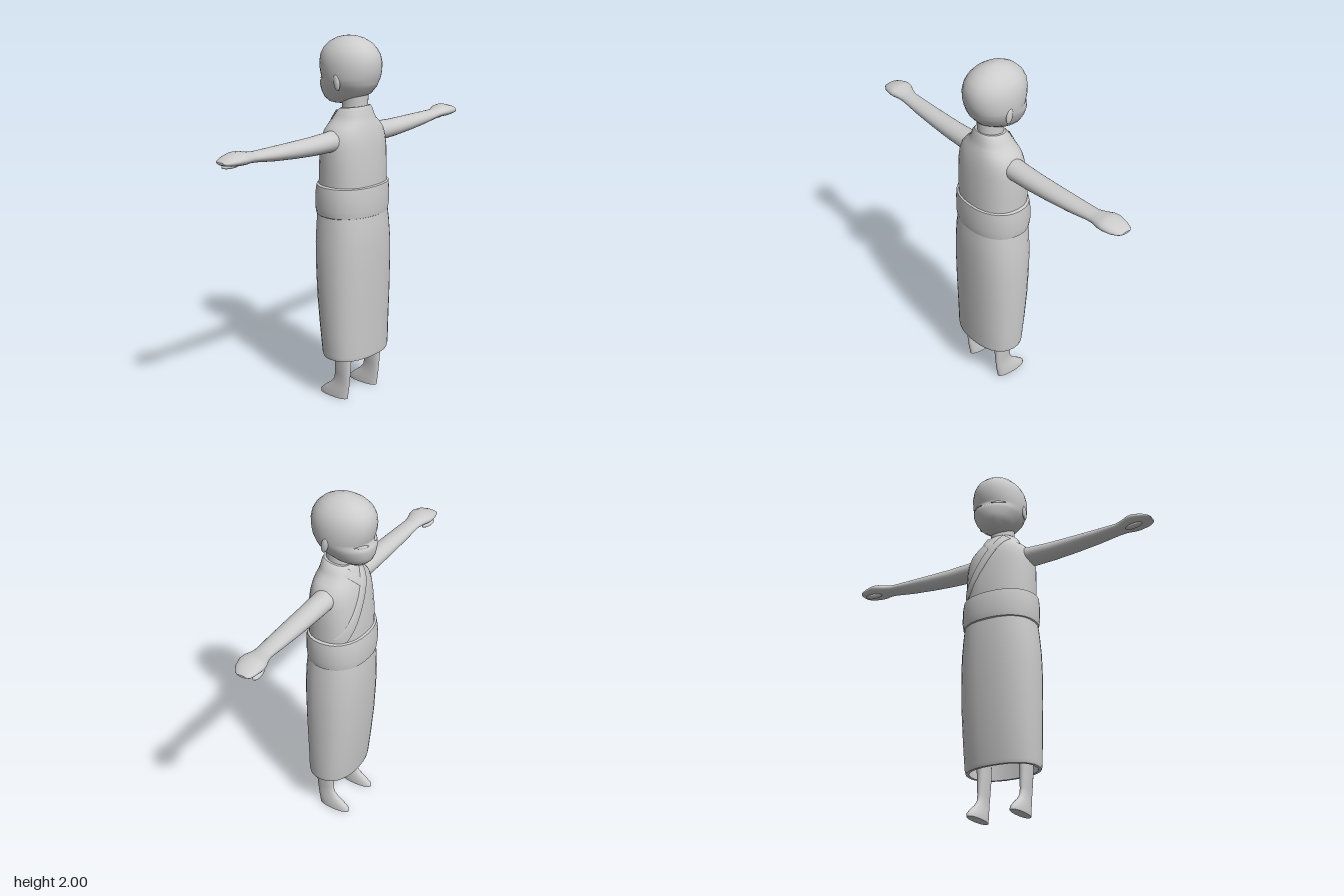
import * as THREE from 'three';

const SEG = 28;
const cloth = new THREE.MeshStandardMaterial({ color: 0xcccccc, side: THREE.DoubleSide });
cloth.name = 'plain grey';

const power = (v, e) => Math.sign(v) * Math.pow(Math.abs(v), 2 / e);

// Skin closed rings of points, optionally closing either end
function skin(rings, capStart, capEnd) {
  const pos = [], idx = [], n = rings[0].length;
  rings.forEach(r => r.forEach(p => pos.push(...p)));
  for (let i = 0; i < rings.length - 1; i++) {
    for (let j = 0; j < n; j++) {
      const a = i * n + j, b = i * n + (j + 1) % n;
      idx.push(a, b, a + n, b, b + n, a + n);
    }
  }
  const cap = (ring, flip) => {
    const base = pos.length / 3;
    ring.forEach(p => pos.push(...p));
    pos.push(...[0, 1, 2].map(k => ring.reduce((s, p) => s + p[k], 0) / n));
    for (let j = 0; j < n; j++) {
      const a = base + j, b = base + (j + 1) % n;
      idx.push(...(flip ? [b, a, base + n] : [a, b, base + n]));
    }
  };
  if (capStart) cap(rings[0], true);
  if (capEnd) cap(rings[rings.length - 1], false);
  const g = new THREE.BufferGeometry();
  g.setAttribute('position', new THREE.Float32BufferAttribute(pos, 3));
  g.setIndex(idx);
  g.computeVertexNormals();
  return g;
}

// Upright ring: [height, half width, back z, face-side z, tilt]
function uprightRing([y, w, zb, zf, tilt = 0], e, cx = 0) {
  return Array.from({ length: SEG }, (_, j) => {
    const t = j / SEG * Math.PI * 2, c = power(Math.cos(t), e), s = power(Math.sin(t), e);
    return [cx + w * s, y + tilt * c, (zb + zf) / 2 + c * (zb - zf) / 2];
  });
}
const upright = (rows, e = 2, cx = 0, a = true, b = true) =>
  skin(rows.map(r => uprightRing(r, e, cx)), a, b);

// Sideways ring: [x, low y, high y, min z, max z]
function sideways(rows) {
  return skin(rows.map(([x, y0, y1, z0, z1]) => Array.from({ length: SEG }, (_, j) => {
    const t = j / SEG * Math.PI * 2;
    return [x, (y0 + y1) / 2 + Math.cos(t) * (y1 - y0) / 2, (z0 + z1) / 2 + Math.sin(t) * (z1 - z0) / 2];
  })), true, true);
}

function mirrored(geometry) {
  const g = geometry.clone().scale(-1, 1, 1);
  const ix = g.index.array;
  for (let i = 0; i < ix.length; i += 3) [ix[i], ix[i + 1]] = [ix[i + 1], ix[i]];
  g.computeVertexNormals();
  return g;
}

// Face-side surface depth of a set of upright rows
function surfaceZ(rows, e, x, y) {
  let i = 0;
  while (i < rows.length - 2 && rows[i + 1][0] < y) i++;
  const t = (y - rows[i][0]) / (rows[i + 1][0] - rows[i][0]);
  const [w, zb, zf] = [1, 2, 3].map(k => THREE.MathUtils.lerp(rows[i][k], rows[i + 1][k], t));
  const f = Math.pow(Math.max(0, 1 - Math.pow(Math.abs(x) / w, e)), 1 / e);
  return (zb + zf) / 2 - f * (zb - zf) / 2;
}

// Thin raised band lying on a surface between two points
function band(rows, e, from, to, width, lift, taper) {
  const pos = [], idx = [], N = 16;
  const dx = to[0] - from[0], dy = to[1] - from[1], l = Math.hypot(dx, dy);
  for (let i = 0; i <= N; i++) {
    const t = i / N, w = width * (taper ? Math.sin(Math.PI * t) : 1);
    [-0.5, -0.42, 0.42, 0.5].forEach((s, k) => {
      const x = from[0] + dx * t - dy / l * s * w, y = from[1] + dy * t + dx / l * s * w;
      pos.push(x, y, surfaceZ(rows, e, x, y) - (k % 3 ? lift : -0.002));
    });
  }
  const flip = dx > 0;
  for (let i = 0; i < N; i++) for (let k = 0; k < 3; k++) {
    const a = i * 4 + k, b = a + 1, c = a + 4, d = a + 5;
    idx.push(...(flip ? [a, b, c, b, d, c] : [a, c, b, b, c, d]));
  }
  const g = new THREE.BufferGeometry();
  g.setAttribute('position', new THREE.Float32BufferAttribute(pos, 3));
  g.setIndex(idx);
  g.computeVertexNormals();
  return g;
}

export function createModel() {
  const model = new THREE.Group();
  const add = (name, g) => {
    const m = new THREE.Mesh(g, cloth);
    m.name = name;
    model.add(m);
    return m;
  };
  const pair = (name, g) => {
    add(name + 'Left', g);
    add(name + 'Right', mirrored(g));
  };

  // Head with brow hollow, cheeks and small chin
  const head = [
    [1.64, 0.03, -0.05, -0.12], [1.648, 0.058, -0.01, -0.142], [1.67, 0.088, 0.05, -0.165],
    [1.70, 0.112, 0.105, -0.178], [1.74, 0.132, 0.138, -0.184], [1.76, 0.139, 0.146, -0.178],
    [1.775, 0.142, 0.151, -0.163], [1.79, 0.145, 0.157, -0.168], [1.82, 0.147, 0.164, -0.177],
    [1.86, 0.146, 0.167, -0.181], [1.90, 0.138, 0.16, -0.177], [1.935, 0.121, 0.14, -0.16],
    [1.965, 0.094, 0.108, -0.128], [1.985, 0.063, 0.07, -0.09], [1.996, 0.032, 0.032, -0.05],
    [2.0, 0.004, 0.0, -0.012],
  ];
  add('head', upright(head, 2.1));
  add('neck', upright([[1.54, 0.075, 0.1, -0.055], [1.62, 0.064, 0.092, -0.05], [1.74, 0.066, 0.1, -0.045]]));
  pair('ear', new THREE.SphereGeometry(1, 14, 10).scale(0.011, 0.042, 0.02)
    .rotateX(-0.2).translate(0.142, 1.77, 0.02));
  pair('closedEye', band(head, 2.1, [0.03, 1.77], [0.1, 1.776], 0.014, 0.006, true));

  // Wrapped upper garment
  const torso = [
    [1.1, 0.195, 0.16, -0.145], [1.22, 0.198, 0.162, -0.147], [1.32, 0.2, 0.16, -0.142],
    [1.42, 0.199, 0.153, -0.13], [1.47, 0.192, 0.147, -0.122], [1.51, 0.178, 0.139, -0.112],
    [1.54, 0.153, 0.131, -0.1], [1.565, 0.122, 0.122, -0.088], [1.59, 0.106, 0.114, -0.075],
    [1.615, 0.092, 0.108, -0.064, 0.008], [1.63, 0.076, 0.1, -0.054, 0.012],
  ];
  add('upperGarment', upright(torso, 2.3, 0, false, true));
  add('underLapel', band(torso, 2.3, [0.065, 1.595], [-0.03, 1.49], 0.045, 0.004));
  add('overLapel', band(torso, 2.3, [-0.07, 1.595], [0.165, 1.24], 0.05, 0.008));

  // Waist sash with crisp edges
  const sashTop = [1.22, 0.214, 0.172, -0.158], sashLow = [1.06, 0.212, 0.172, -0.163];
  add('sash', upright([
    [1.05, 0.198, 0.16, -0.15], sashLow, sashLow, [1.1, 0.218, 0.177, -0.168],
    [1.17, 0.219, 0.176, -0.166], sashTop, sashTop, [1.226, 0.196, 0.16, -0.145],
  ], 2.2, 0, false, false));

  // Long skirt, open at the hem with an inner wall
  const hem = [0.25, 0.207, 0.163, -0.108];
  add('skirt', upright([
    [0.5, 0.192, 0.15, -0.115], [0.25, 0.19, 0.148, -0.092], [0.25, 0.19, 0.148, -0.092], hem, hem,
    [0.27, 0.212, 0.167, -0.113], [0.42, 0.218, 0.17, -0.13], [0.6, 0.224, 0.176, -0.147],
    [0.78, 0.225, 0.18, -0.157], [0.9, 0.221, 0.181, -0.161], [1.0, 0.212, 0.177, -0.16],
    [1.08, 0.203, 0.168, -0.155],
  ], 2.3, 0, true, true));

  // Arms with mitten-like hands and thumbs
  pair('armAndHand', sideways([
    [0.12, 1.41, 1.525, -0.05, 0.07], [0.2, 1.412, 1.518, -0.052, 0.07], [0.32, 1.415, 1.512, -0.05, 0.066],
    [0.46, 1.424, 1.51, -0.05, 0.06], [0.6, 1.437, 1.508, -0.05, 0.052], [0.72, 1.453, 1.506, -0.05, 0.042],
    [0.76, 1.456, 1.511, -0.062, 0.045], [0.8, 1.454, 1.52, -0.08, 0.056], [0.83, 1.455, 1.521, -0.085, 0.058],
    [0.88, 1.46, 1.508, -0.077, 0.045], [0.91, 1.466, 1.494, -0.066, 0.024], [0.922, 1.473, 1.484, -0.05, 0.005],
  ]));
  pair('thumb', new THREE.SphereGeometry(1, 14, 10).scale(0.052, 0.013, 0.019)
    .rotateY(0.15).translate(0.83, 1.446, -0.052));

  // Bare legs ending in pointed feet
  const sole = [0, 0.03, 0.075, -0.117];
  pair('legAndFoot', upright([
    sole, sole, [0.018, 0.031, 0.077, -0.115], [0.045, 0.027, 0.082, -0.085],
    [0.075, 0.023, 0.087, -0.045], [0.105, 0.021, 0.09, -0.018], [0.14, 0.022, 0.094, -0.011],
    [0.25, 0.03, 0.1, -0.01], [0.5, 0.034, 0.1, -0.02],
  ], 2.2, 0.125));

  return model;
}
